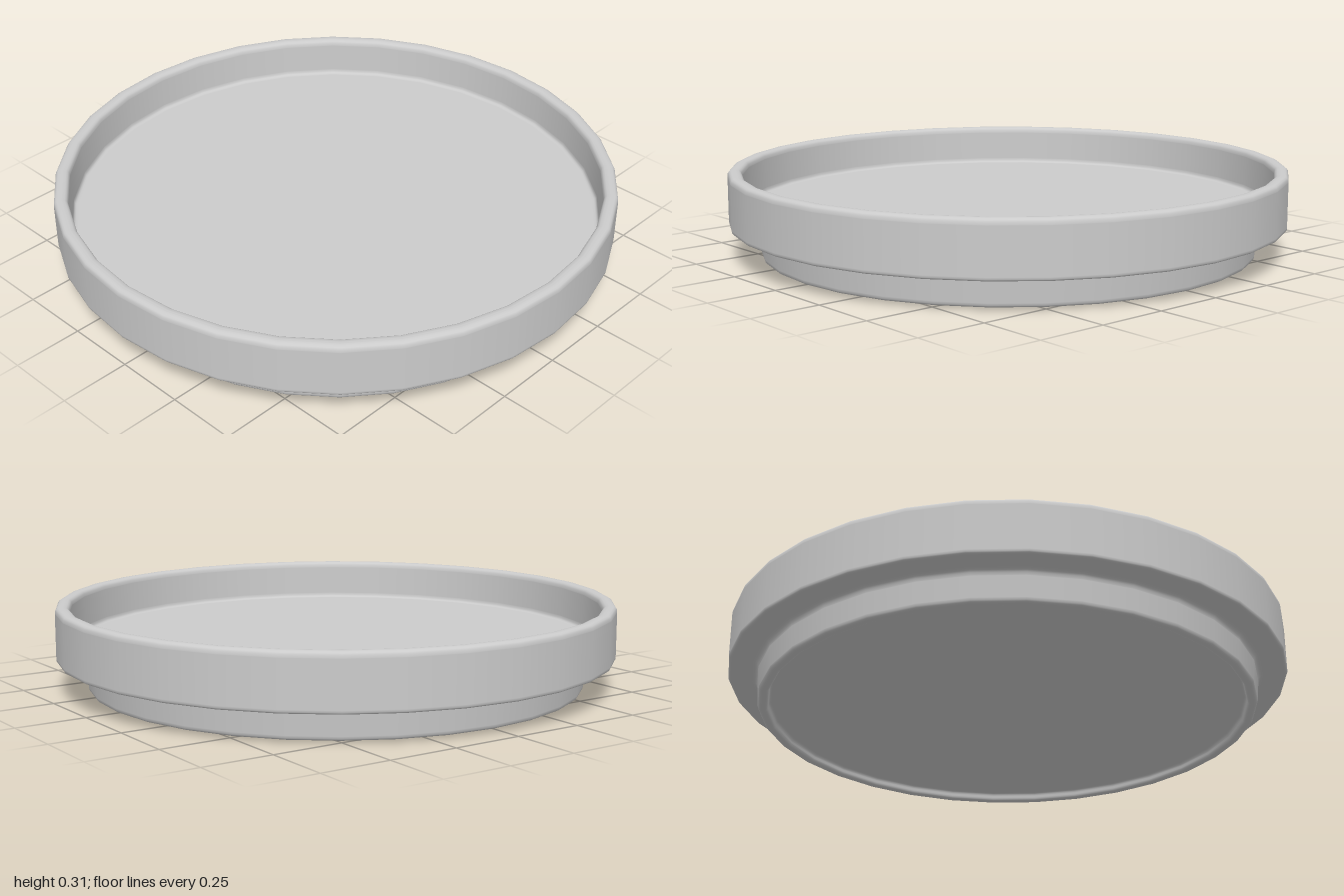
import * as THREE from 'three';

// Round each corner [radius, height, fillet], with holding points to keep the flats flat
function roundedProfile(corners) {
  const pts = [];
  corners.forEach(([x, y, r], i) => {
    const p = new THREE.Vector2(x, y);
    if (!r) return pts.push(p);
    const toward = (c) => new THREE.Vector2(c[0], c[1]).sub(p).normalize();
    const a = toward(corners[i - 1]);
    const b = toward(corners[i + 1]);
    const start = p.clone().addScaledVector(a, r);
    const end = p.clone().addScaledVector(b, r);
    pts.push(start.clone().addScaledVector(a, 0.002));
    pts.push(...new THREE.QuadraticBezierCurve(start, p, end).getPoints(4));
    pts.push(end.clone().addScaledVector(b, 0.002));
  });
  return pts;
}

export function createModel() {
  const group = new THREE.Group();
  group.name = 'dish';

  // Closed profile from the underside, round the foot and rim, to the inner floor
  const profile = roundedProfile([
    [0, 0.03, 0],
    [0.85, 0.03, 0.01],    // recess under the dish
    [0.855, 0, 0.01],      // foot ring, inner edge
    [0.888, 0, 0.014],     // foot ring, outer edge
    [0.898, 0.11, 0.02],   // foot meets rim
    [1, 0.11, 0.012],      // rim, lower edge
    [1, 0.305, 0.02],      // rim, upper edge
    [0.95, 0.305, 0.02],   // rim, inner edge
    [0.945, 0.16, 0.015],  // wall meets floor
    [0, 0.16, 0],
  ]);

  const body = new THREE.Mesh(
    new THREE.LatheGeometry(profile, 32),
    new THREE.MeshStandardMaterial({ color: 0xcccccc })
  );
  body.name = 'dishBody';
  group.add(body);
  return group;
}
